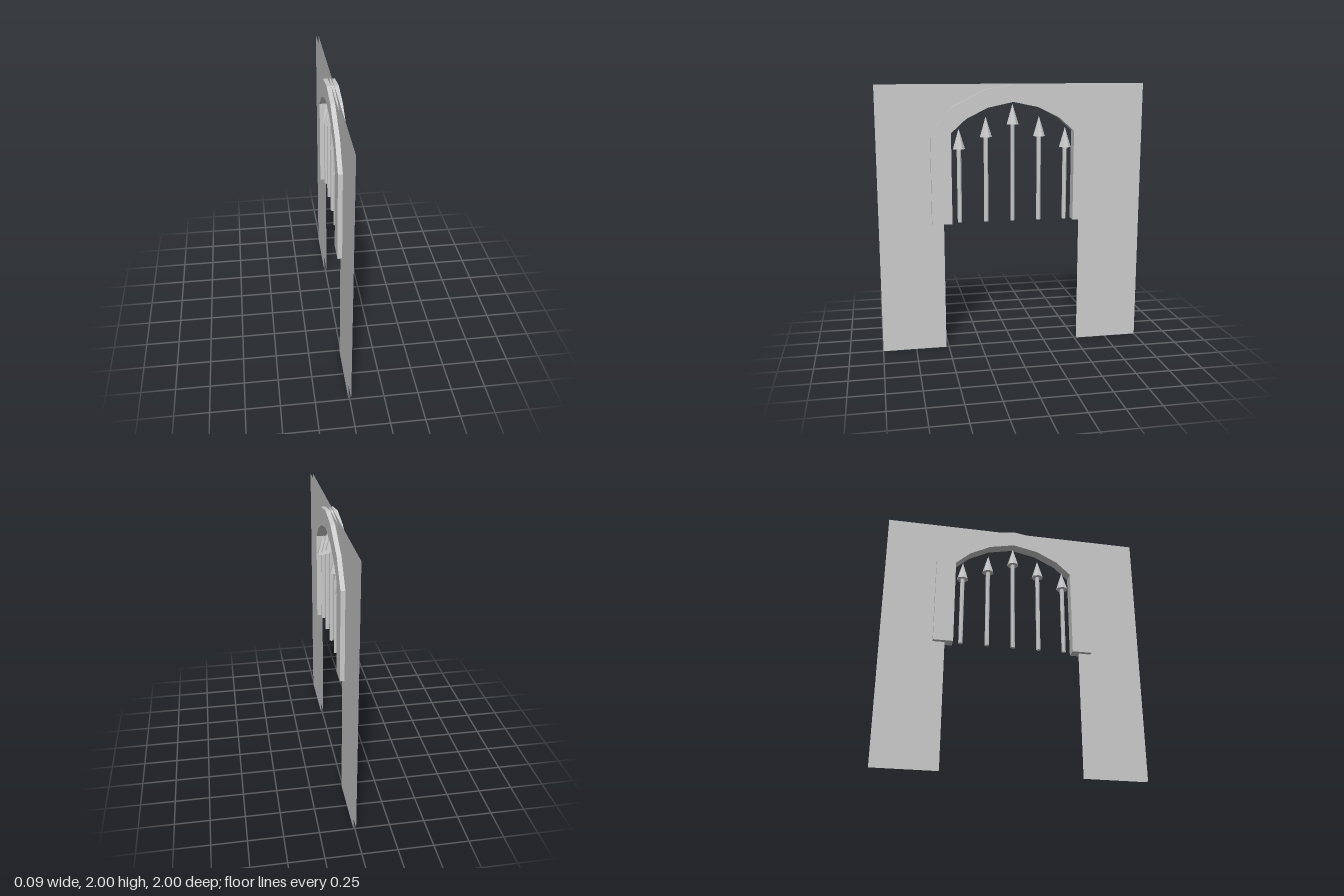
import * as THREE from 'three';

const grey = new THREE.MeshStandardMaterial({ color: 0xcccccc, flatShading: true });
const sheet = new THREE.MeshStandardMaterial({ color: 0xcccccc, flatShading: true, side: THREE.DoubleSide });

// Half profile (foot to crown) mirrored into a full run over the arch
function mirrored(half) {
  const other = half.slice(0, -1).reverse().map(([w, y]) => [-w, y]);
  return [...half, ...other].map(([w, y]) => new THREE.Vector2(w, y));
}

function add(parent, name, geometry, material = grey) {
  const mesh = new THREE.Mesh(geometry, material);
  mesh.name = name;
  parent.add(mesh);
  return mesh;
}

export function createModel() {
  const model = new THREE.Group();
  model.name = 'gateway';

  // Wall: two open sheets with an arched doorway
  const opening = mirrored([[0.52, 0], [0.52, 1.65], [0.40, 1.79], [0.20, 1.89], [0, 1.93]]);
  const wallShape = new THREE.Shape([
    new THREE.Vector2(-1, 0), new THREE.Vector2(-1, 2),
    new THREE.Vector2(1, 2), new THREE.Vector2(1, 0), ...opening,
  ]);
  for (const side of [-1, 1]) {
    const geometry = new THREE.ShapeGeometry(wallShape);
    geometry.rotateY(side * Math.PI / 2);
    add(model, side > 0 ? 'wallLeftFace' : 'wallRightFace', geometry, sheet).position.x = side * 0.01;
  }

  // Faceted arch surround, thicker than the wall
  const outer = mirrored([[0.61, 0.975], [0.61, 1.65], [0.46, 1.83], [0.21, 1.96], [0, 1.995]]);
  const inner = mirrored([[0.46, 0.975], [0.46, 1.65], [0.35, 1.75], [0.19, 1.83], [0, 1.87]]);
  const depth = 0.085;
  const arch = new THREE.ExtrudeGeometry(new THREE.Shape([...outer, ...inner.reverse()]),
    { depth, bevelEnabled: false });
  arch.translate(0, 0, -depth / 2).rotateY(Math.PI / 2);
  add(model, 'archSurround', arch);

  // Row of spear bars, tallest in the middle
  const foot = 0.98, headHeight = 0.15, sides = 7;
  const tips = [1.68, 1.765, 1.855, 1.765, 1.68];
  tips.forEach((tip, i) => {
    const bar = new THREE.Group();
    bar.name = 'spearBar' + (i + 1);
    bar.position.z = (i - 2) * 0.2;
    bar.rotation.y = -Math.PI / 2;
    const neck = tip - headHeight;
    add(bar, 'shaft', new THREE.CylinderGeometry(0.017, 0.017, neck - foot, sides)).position.y = (neck + foot) / 2;
    add(bar, 'spearHead', new THREE.ConeGeometry(0.046, headHeight, sides)).position.y = neck + headHeight / 2;
    model.add(bar);
  });

  return model;
}
